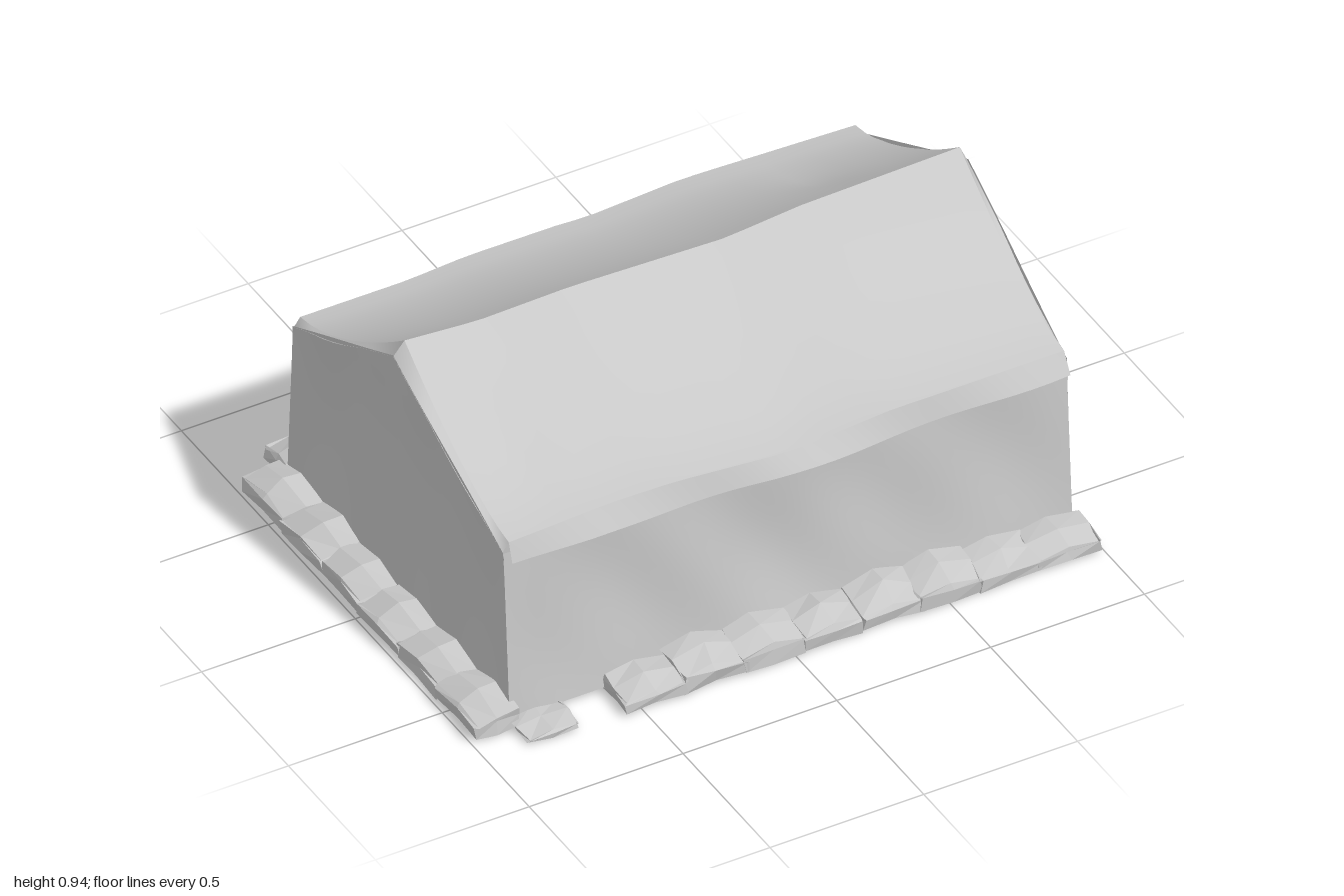
import * as THREE from 'three';

const X0 = -0.86, X1 = 0.97;
const lerp = THREE.MathUtils.lerp;
const bump = (x, c, w) => Math.exp(-(((x - c) / w) ** 2));

// piecewise-linear lookup through [key, value] points
function track(points, x) {
  if (x <= points[0][0]) return points[0][1];
  for (let i = 1; i < points.length; i++) {
    const [a, va] = points[i - 1], [b, vb] = points[i];
    if (x <= b) return lerp(va, vb, (x - a) / (b - a));
  }
  return points[points.length - 1][1];
}

// smooth cloth sheet from a rule (u, v) -> [x, y, z]
function sheet(nu, nv, rule) {
  const pos = [], idx = [];
  for (let j = 0; j <= nv; j++)
    for (let i = 0; i <= nu; i++) pos.push(...rule(i / nu, j / nv));
  for (let j = 0; j < nv; j++)
    for (let i = 0; i < nu; i++) {
      const a = j * (nu + 1) + i, b = a + nu + 1;
      idx.push(a, a + 1, b, b, a + 1, b + 1);
    }
  const g = new THREE.BufferGeometry();
  g.setAttribute('position', new THREE.Float32BufferAttribute(pos, 3));
  g.setIndex(idx);
  g.computeVertexNormals();
  return g;
}

const RIDGE = [[-0.85, 0.95], [-0.6, 0.93], [-0.3, 0.937], [0.2, 0.92], [0.45, 0.943], [0.97, 0.955]];
const EAVE = [[-0.85, 0.63], [-0.3, 0.642], [0.1, 0.622], [0.4, 0.642], [0.97, 0.63]];
const EAVE_Z = [[-0.85, 0.6], [-0.5, 0.59], [0, 0.615], [0.5, 0.61], [0.97, 0.6]];

// point on the sagging roof: s = 0 at the ridge, 1 at the eave
function roofPoint(x, s, side) {
  const eave = track(EAVE, x);
  const y = eave + (track(RIDGE, x) - eave) * Math.pow(1 - s, 1.45);
  const z = side * s * track(EAVE_Z, x);
  const dent = 0.015 * bump(x, side > 0 ? -0.68 : 0.66, 0.06) * bump(s, 0.5, 0.25);
  return [x, y - dent, z];
}

// gable edge height and side-wall depth
const gableY = (z) => 0.91 - 0.31 * Math.min(Math.abs(z) / 0.61, 1);
const wallZ = (y) => lerp(0.64, 0.605, (y - 0.03) / 0.57);

export function createModel() {
  const group = new THREE.Group();
  const canvas = new THREE.MeshStandardMaterial({ color: 0xc8c8c8, side: THREE.DoubleSide });
  canvas.name = 'grey canvas';
  const add = (geometry, name) => {
    const mesh = new THREE.Mesh(geometry, canvas);
    mesh.name = name;
    group.add(mesh);
  };

  for (const side of [1, -1]) {
    const label = side > 0 ? 'front' : 'back';
    // pass u so that outward faces wind counter-clockwise
    const dir = (u) => (side > 0 ? u : 1 - u);

    // roof slope
    add(sheet(28, 10, (u, v) =>
      roofPoint(lerp(-0.84, 0.965, dir(u)), 1 - v, side)), label + 'Roof');

    // hanging strip below the eave
    add(sheet(28, 1, (u, v) => {
      const [x, y, z] = roofPoint(lerp(-0.84, 0.965, dir(u)), 1, side);
      const flare = side > 0 ? 0.03 + 0.01 * Math.sin(x * 9) : 0.01;
      return [x, lerp(0.567, y, v), z + side * flare * (1 - v)];
    }), label + 'Valance');

    // long wall with soft sagging folds
    add(sheet(36, 12, (u, v) => {
      const x = lerp(X0, X1, dir(u)), y = lerp(0.03, 0.6, v);
      const taut = Math.sin(Math.PI * v) * Math.sin(Math.PI * dir(u)) ** 0.5;
      const fold = 0.014 + 0.012 * Math.sin(x * 9 + side) + 0.008 * Math.sin(x * 15 + v * 4);
      return [x, y, side * (wallZ(y) - taut * fold)];
    }), label + 'Wall');
  }

  // one half of an end wall; the slit narrows upward from the ground
  function endHalf(end, side, slit) {
    const xBase = end > 0 ? X1 : X0;
    const flip = end * side > 0;
    return sheet(12, 18, (u, v) => {
      const w = flip ? 1 - u : u;
      const topZ = side * w * 0.605;
      const y = lerp(0.025, gableY(topZ), v);
      const open = slit ? 0.052 * Math.max(0, 1 - (y - 0.025) / 0.335) : 0;
      const z = side * lerp(open + (slit ? side * 0.01 : 0), wallZ(Math.min(y, 0.6)), w);
      const crease = Math.sin(Math.PI * Math.min(1, v)) * Math.sin(Math.PI * w);
      const x = xBase + end * 0.017 * bump(y, 0.91, 0.2) -
        end * crease * (0.012 + 0.01 * Math.sin(z * 13 + 1));
      return [x, y, z];
    });
  }
  for (const side of [1, -1]) {
    const label = side > 0 ? 'Front' : 'Back';
    add(endHalf(1, side, true), 'doorFlap' + label);
    add(endHalf(-1, side, false), 'endWall' + label);
    // narrow rim joining the roof edge to the gable
    for (const end of [1, -1])
      add(sheet(10, 1, (u, v) => {
        const s = end * side > 0 ? 1 - u : u;
        const [x, y, z] = roofPoint(end > 0 ? 0.965 : -0.84, s, side);
        const gx = end > 0 ? X1 + 0.017 * bump(gableY(z), 0.91, 0.2) : X0 - 0.017 * bump(gableY(z), 0.91, 0.2);
        return [lerp(gx, x, v), lerp(Math.min(y, gableY(z)) - 0.005, y, v), z];
      }), 'gableRim');
  }

  // seam ledge above the door
  add(sheet(6, 1, (u, v) => [
    0.972 + 0.006 * (1 - v), 0.597 + 0.008 * v + 0.01 * u, lerp(0.02, 0.25, 1 - u),
  ]), 'doorSeam');

  // irregular weights holding down the skirt
  let seed = 7;
  const rand = () => (seed = (seed * 16807) % 2147483647) / 2147483647;
  function bag(length, height, depth) {
    const g = new THREE.BoxGeometry(length, height, depth, 2, 2, 2).toNonIndexed();
    const p = g.attributes.position, moved = {};
    for (let i = 0; i < p.count; i++) {
      const x = p.getX(i), y = p.getY(i), z = p.getZ(i);
      const key = [x, y, z].map((n) => n.toFixed(3)).join();
      if (!moved[key]) {
        const pinch = Math.abs(x) > length * 0.4 ? 0.7 : 1;
        const slope = z > depth * 0.4 ? 0.65 : 1;
        const tuck = y < 0 ? 1 : Math.abs(y) < 0.001 ? 1.04 : 0.93;
        moved[key] = [
          x + (rand() - 0.5) * 0.02,
          (y + height / 2) * (y > 0 ? pinch * slope : 1) + (rand() - 0.5) * 0.014,
          z * tuck + (rand() - 0.5) * 0.012,
        ];
      }
      p.setXYZ(i, ...moved[key]);
    }
    g.computeVertexNormals();
    return g;
  }

  // a row runs from a to b; turn orients its outer edge
  function row(name, a, b, count, offset, turn, heightAt) {
    const length = (b - a) / count;
    for (let i = 0; i < count; i++) {
      const c = a + length * (i + 0.5);
      const g = bag(length * 1.02, heightAt(c), 0.14);
      g.rotateY(turn);
      if (turn === 0) g.translate(c, 0.022, offset);
      else if (turn === Math.PI) g.translate(c, 0.022, -offset);
      else g.translate(-offset, 0.022, c);
      add(g, name);
    }
  }
  row('frontBag', -0.55, 0.985, 8, 0.7, 0, (x) => (x > -0.45 && x < 0.65 ? 0.095 : 0.07));
  row('frontCornerBag', -0.86, -0.7, 1, 0.685, 0, () => 0.02);
  row('backBag', -0.86, 0.965, 9, 0.7, Math.PI, () => 0.09);
  row('endBag', -0.67, 0.665, 6, 0.915, -Math.PI / 2, () => 0.085);

  return group;
}
